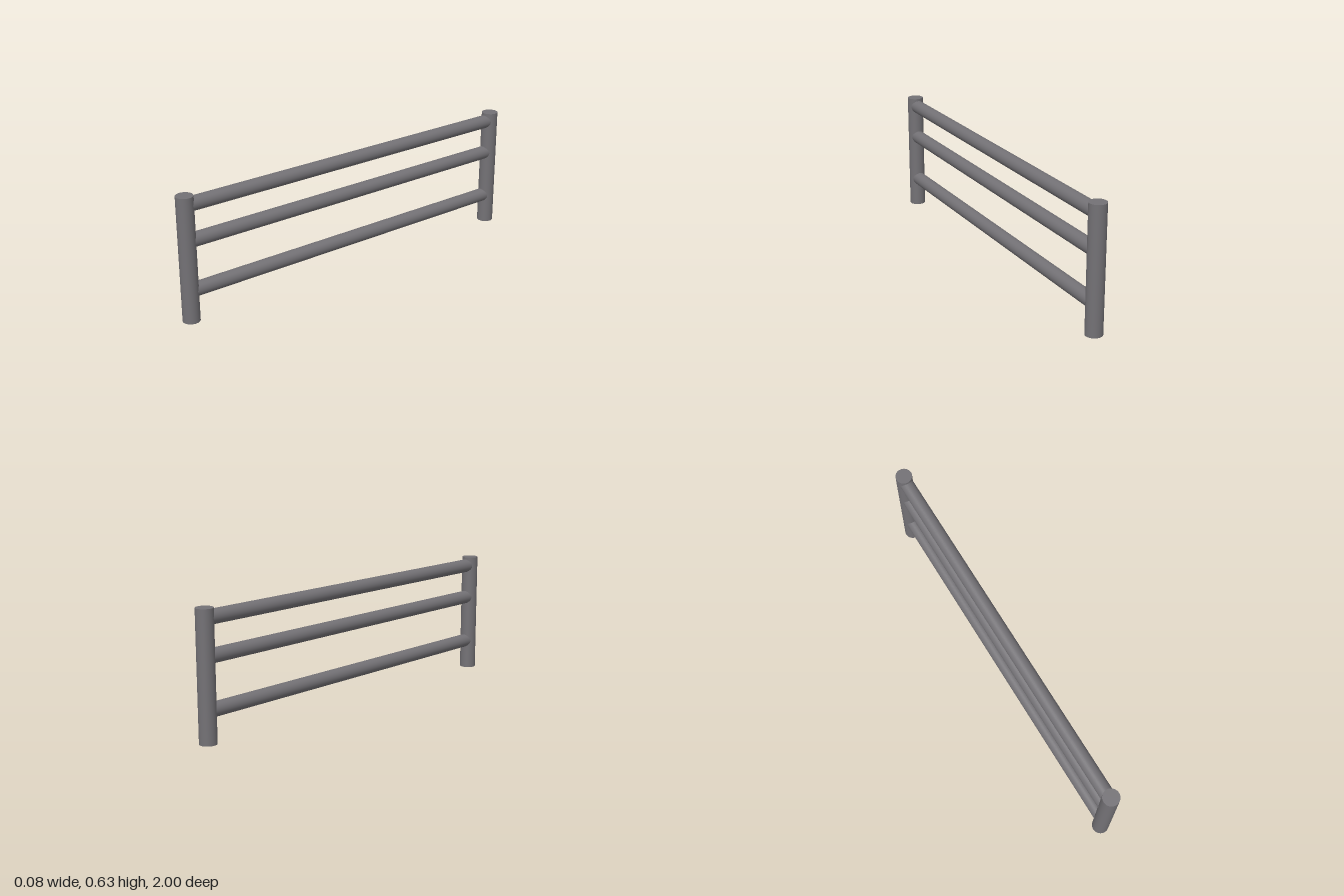
import * as THREE from 'three';

const POST_RADIUS = 0.042;
const POST_HEIGHT = 0.626;
const RAIL_RADIUS = 0.035;
const POST_Z = 1 - POST_RADIUS;

export function createModel() {
  const model = new THREE.Group();
  model.name = 'railing';
  const material = new THREE.MeshStandardMaterial({ color: 0x737175 });

  // Upright posts at the two ends
  const postGeometry = new THREE.CylinderGeometry(POST_RADIUS, POST_RADIUS, POST_HEIGHT, 48);
  for (const [name, side] of [['frontPost', 1], ['backPost', -1]]) {
    const post = new THREE.Mesh(postGeometry, material);
    post.name = name;
    post.position.set(0, POST_HEIGHT / 2, side * POST_Z);
    model.add(post);
  }

  // Horizontal rails running between the post centres
  const railGeometry = new THREE.CylinderGeometry(RAIL_RADIUS, RAIL_RADIUS, 2 * POST_Z, 48);
  railGeometry.rotateX(Math.PI / 2);
  for (const [name, y] of [['bottomRail', 0.153], ['middleRail', 0.402], ['topRail', 0.579]]) {
    const rail = new THREE.Mesh(railGeometry, material);
    rail.name = name;
    rail.position.y = y;
    model.add(rail);
  }

  return model;
}
